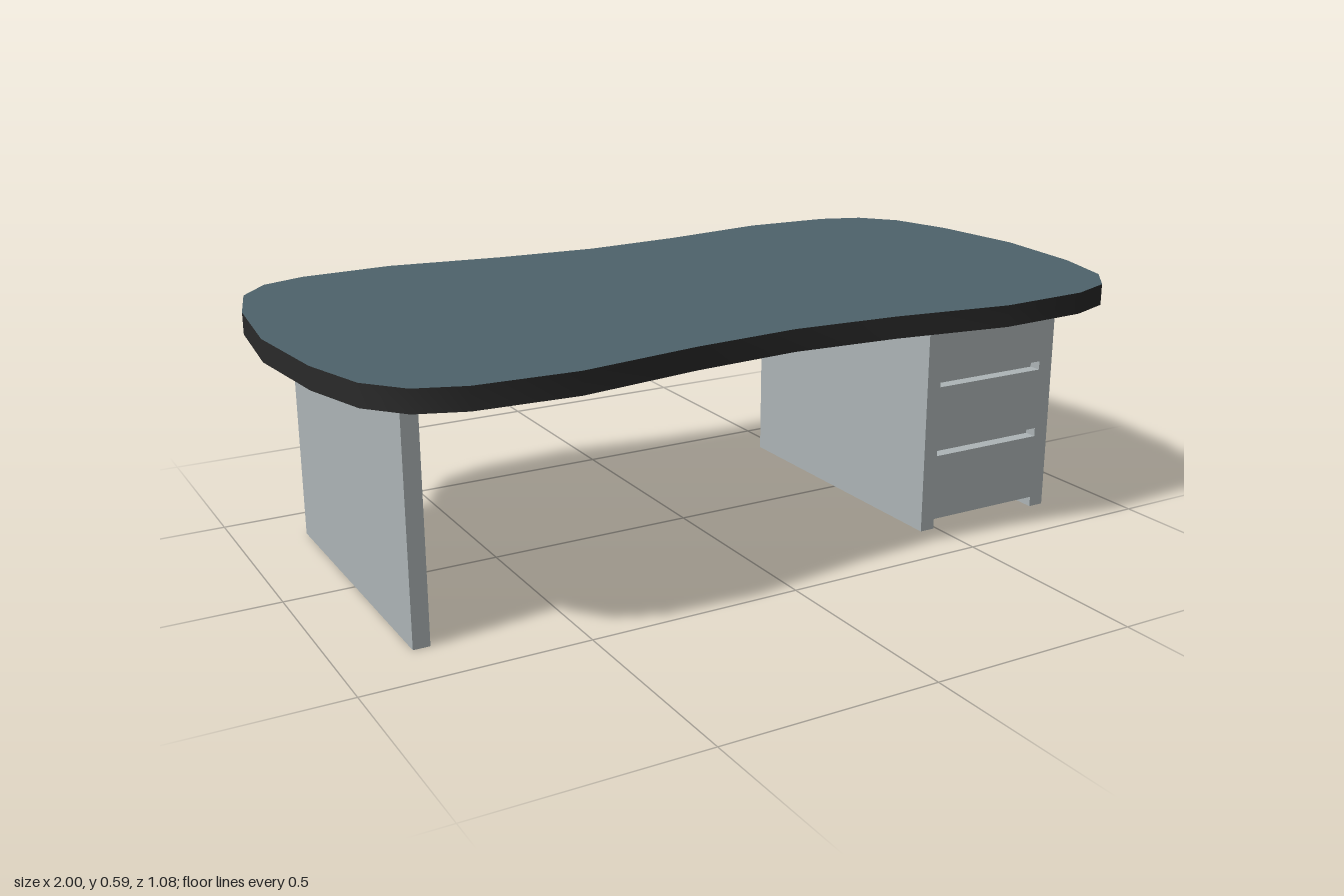
import * as THREE from 'three';
import { toCreasedNormals } from 'three/addons/utils/BufferGeometryUtils.js';

export function createModel() {
  const desk = new THREE.Group();
  desk.name = 'desk';

  const material = (name, color) => {
    const m = new THREE.MeshStandardMaterial({ color });
    m.name = name;
    return m;
  };
  const slate = material('slate blue top', 0x4e636b);
  const black = material('black edging', 0x2a2a2a);
  const grey = material('light grey panel', 0xadb5b7);

  // Box given by its minimum and maximum corners
  const box = (name, x0, x1, y0, y1, z0, z1, parent) => {
    const mesh = new THREE.Mesh(new THREE.BoxGeometry(x1 - x0, y1 - y0, z1 - z0), grey);
    mesh.position.set((x0 + x1) / 2, (y0 + y1) / 2, (z0 + z1) / 2);
    mesh.name = name;
    parent.add(mesh);
  };

  const panelTop = 0.54, thickness = 0.05, depth = 0.362;

  // Waisted table top: one quarter of the outline, mirrored four ways
  const quarter = [[1, 0], [0.975, 0.245], [0.93, 0.403], [0.86, 0.487],
    [0.755, 0.526], [0.53, 0.539], [0.25, 0.497], [0, 0.478]];
  const half = [...quarter, ...quarter.slice(0, -1).reverse().map(([x, y]) => [-x, y])];
  const outline = [...half, ...half.slice(1, -1).reverse().map(([x, y]) => [x, -y])];
  const shape = new THREE.Shape(outline.map(([x, y]) => new THREE.Vector2(x, y)));
  const slab = new THREE.ExtrudeGeometry(shape, { depth: thickness, bevelEnabled: false });
  slab.rotateX(-Math.PI / 2);
  const top = new THREE.Mesh(toCreasedNormals(slab, 0.7), [slate, black]);
  top.position.y = panelTop;
  top.name = 'tableTop';
  desk.add(top);

  // Single support panel on the far side
  box('supportPanel', -0.838, -0.8, 0, panelTop, -depth, depth, desk);

  // Drawer pedestal between two side panels
  const pedestal = new THREE.Group();
  pedestal.name = 'drawerPedestal';
  desk.add(pedestal);
  const inner = 0.492, outer = 0.797, faceBack = depth - 0.03;
  box('innerSidePanel', 0.454, inner, 0, panelTop, -depth, depth, pedestal);
  box('outerSidePanel', outer, 0.836, 0, panelTop, -depth, depth, pedestal);
  box('pedestalBody', inner, outer, 0.025, panelTop, -depth + 0.035, faceBack, pedestal);

  // Drawer fronts, with open finger grooves between them
  [[0.025, 0.186], [0.207, 0.358], [0.379, panelTop]].forEach(([y0, y1], i) =>
    box(`drawerFront${i + 1}`, inner, outer, y0, y1, faceBack, depth, pedestal));

  return desk;
}
